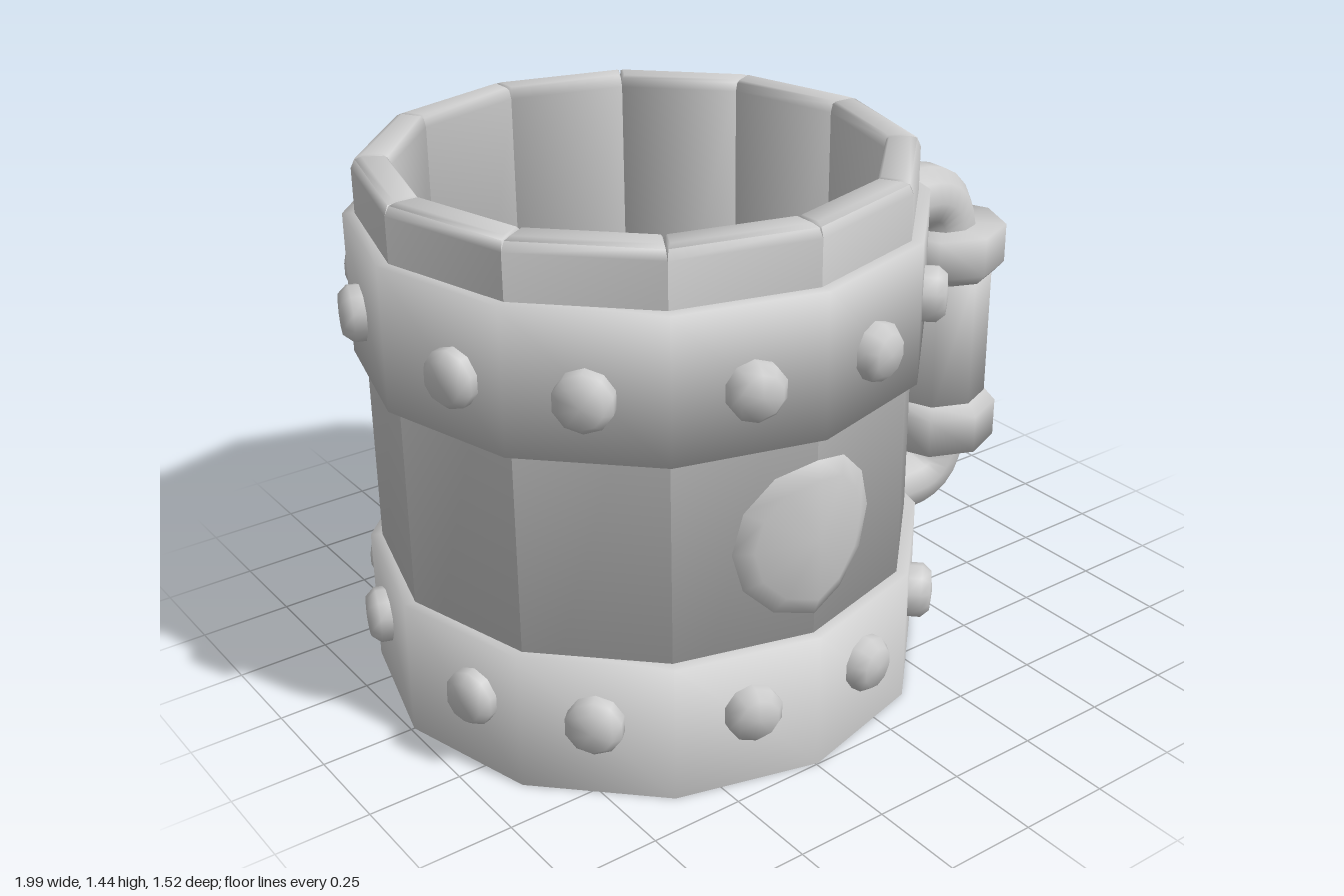
import * as THREE from 'three';
import { toCreasedNormals } from 'three/addons/utils/BufferGeometryUtils.js';

const CX = -0.243;      // axis of the barrel
const HX = 0.815;       // axis of the handle grip
const SIDES = 12;

export function createModel() {
  const model = new THREE.Group();
  model.name = 'tankard';
  const material = new THREE.MeshStandardMaterial({ color: 0xcccccc });
  const thinMaterial = new THREE.MeshStandardMaterial({ color: 0xcccccc, side: THREE.DoubleSide });

  function add(name, geometry, x = 0, y = 0, z = 0, mat = material) {
    const mesh = new THREE.Mesh(toCreasedNormals(geometry, 1.7), mat);
    mesh.name = name;
    mesh.position.set(x, y, z);
    model.add(mesh);
    return mesh;
  }
  const lathe = (points, sides) =>
    new THREE.LatheGeometry(points.map(([r, y]) => new THREE.Vector2(r, y)), sides);

  // One stave: a wedge of the barrel wall with a softened top
  function staveGeometry(a0, a1) {
    const levels = [
      { y: 0.02, out: 0.717, inn: 0.622, gap: 0 },
      { y: 1.412, out: 0.717, inn: 0.622, gap: 0 },
      { y: 1.436, out: 0.706, inn: 0.626, gap: 0.004 },
      { y: 1.443, out: 0.688, inn: 0.632, gap: 0.012 },
    ];
    const positions = [], index = [];
    for (const { y, out, inn, gap } of levels) {
      for (const [r, a] of [[out, a0 + gap], [out, a1 - gap], [inn, a1 - gap], [inn, a0 + gap]]) {
        positions.push(r * Math.sin(a), y, r * Math.cos(a));
      }
    }
    for (let i = 0; i < levels.length - 1; i++) {
      for (let j = 0; j < 4; j++) {
        const a = i * 4 + j, b = i * 4 + (j + 1) % 4;
        index.push(a, b, b + 4, a, b + 4, a + 4);
      }
    }
    const t = (levels.length - 1) * 4;
    index.push(t, t + 1, t + 2, t, t + 2, t + 3, 0, 2, 1, 0, 3, 2);
    const geometry = new THREE.BufferGeometry();
    geometry.setAttribute('position', new THREE.Float32BufferAttribute(positions, 3));
    geometry.setIndex(index);
    return geometry;
  }

  // Barrel wall
  const step = 2 * Math.PI / SIDES;
  for (let i = 0; i < SIDES; i++) add('stave', staveGeometry(i * step, (i + 1) * step), CX);

  // Lower hoop runs on into a thin, slightly dished floor; upper hoop is an open ring
  add('lowerHoopAndFloor',
    lathe([[0, 0.03], [0.68, 0.025], [0.748, 0], [0.748, 0.375], [0.7, 0.375]], SIDES), CX, 0, 0, thinMaterial);
  add('upperHoop',
    lathe([[0.7, 0.92], [0.748, 0.92], [0.748, 1.295], [0.7, 1.295]], SIDES), CX, 0, 0, thinMaterial);

  // Twelve domed rivets on each hoop
  const rivetSpots = [[0.18, 0.705], [0.52, 0.52], [0.69, 0.235]];
  for (const rivetY of [0.212, 1.085]) {
    for (const sx of [-1, 1]) {
      for (const sz of [-1, 1]) {
        for (const [x, z] of rivetSpots) {
          const g = lathe([[0.074, -0.02], [0.074, 0.022], [0.054, 0.045], [0, 0.05]], 10);
          g.rotateX(Math.PI / 2);
          const rivet = add('rivet', g, CX + sx * x, rivetY, sz * z);
          rivet.rotation.y = Math.atan2(sx * x, sz * z);
        }
      }
    }
  }

  // Round badge, folded over the front corner of the barrel
  const badge = lathe([[0.217, -0.03], [0.217, 0.002], [0.165, 0.021], [0, 0.023]], 12);
  badge.rotateX(Math.PI / 2);
  const p = badge.attributes.position;
  for (let i = 0; i < p.count; i++) {
    p.setZ(i, p.getZ(i) - Math.abs(p.getX(i)) * Math.tan(step / 2));
  }
  add('badge', badge, CX, 0.642, 0.713);

  // Handle mounts and elbow pipes, top and bottom
  for (const [y, dir] of [[1.108, -1], [0.2, 1]]) {
    const flange = lathe([[0, -0.04], [0.145, -0.04], [0.145, 0.035], [0.125, 0.065], [0, 0.065]], 10);
    add('handleFlange', flange.rotateZ(-Math.PI / 2), 0.48, y);
    const collar = lathe([[0.106, 0], [0.106, 0.065], [0, 0.065]], 10);
    add('handleCollar', collar.rotateZ(-Math.PI / 2), 0.54, y);

    const bend = 0.13;
    const path = new THREE.CurvePath();
    const v = (x, dy) => new THREE.Vector3(x, y + dir * dy, 0);
    path.add(new THREE.LineCurve3(v(0.57, 0), v(HX - bend, 0)));
    path.add(new THREE.QuadraticBezierCurve3(v(HX - bend, 0), v(HX, 0), v(HX, bend)));
    path.add(new THREE.LineCurve3(v(HX, bend), v(HX, 0.22)));
    add('handleElbow', new THREE.TubeGeometry(path, 14, 0.097, 10, false));
  }

  // Grip with a coupling at each end
  add('grip', new THREE.CylinderGeometry(0.15, 0.15, 0.44, 8), HX, 0.668);
  const coupling = [[0, 0], [0.184, 0], [0.184, 0.115], [0.155, 0.147], [0, 0.147]];
  add('lowerCoupling', lathe(coupling, 8), HX, 0.328);
  add('upperCoupling', lathe(coupling, 8).rotateX(Math.PI), HX, 1.006);

  return model;
}
